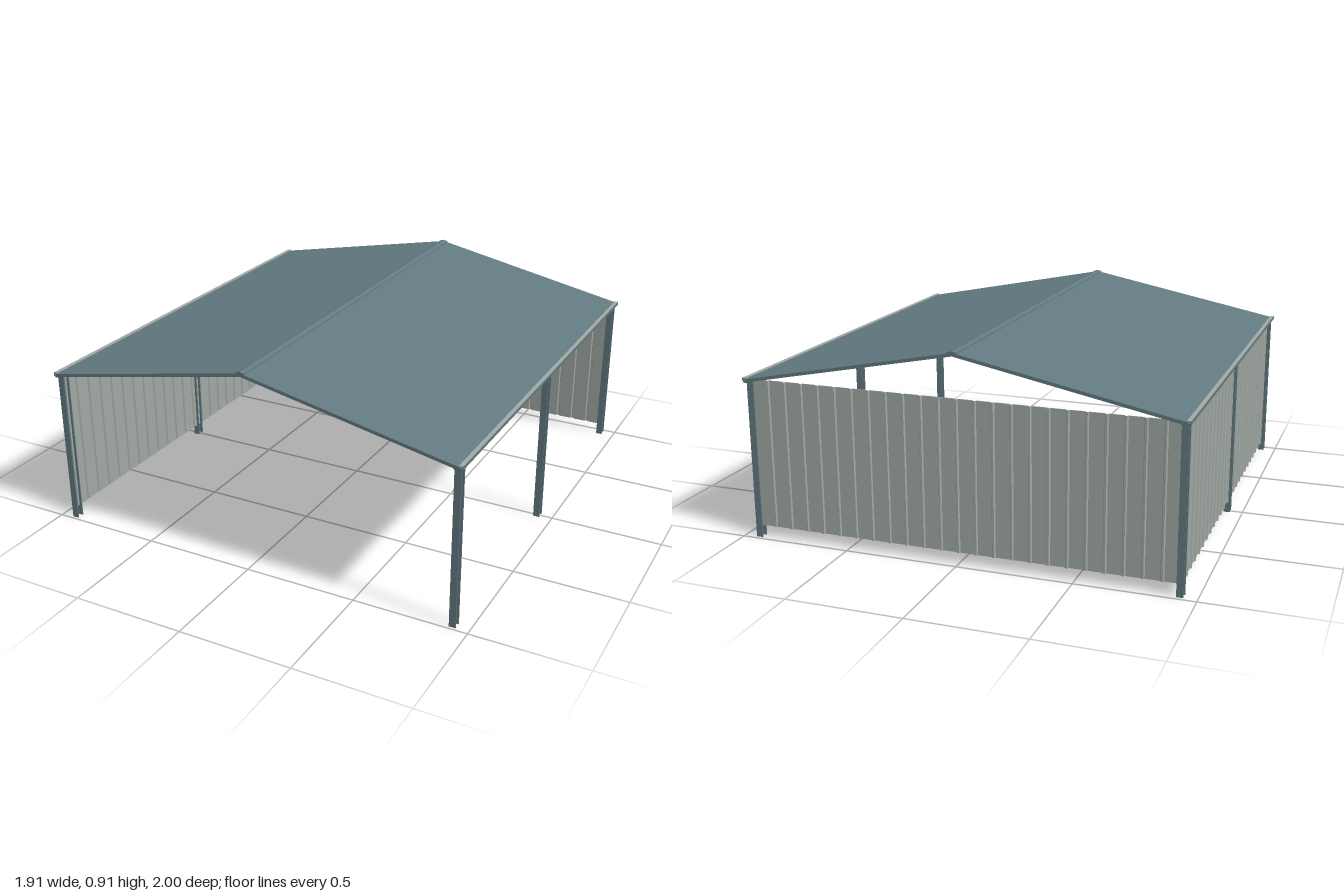
import * as THREE from 'three';

const LEN = 2; // roof length along z
const PITCH = 0.0777; // rib spacing of the wall sheets

const steel = new THREE.MeshStandardMaterial({ color: 0x627a81 });
steel.name = 'blueGreySteel';
const sheet = new THREE.MeshStandardMaterial({ color: 0xa2aaa5 });
sheet.name = 'paleGreySheet';

function add(parent, name, geometry, material, x = 0, y = 0, z = 0) {
  const mesh = new THREE.Mesh(geometry, material);
  mesh.name = name;
  mesh.position.set(x, y, z);
  parent.add(mesh);
  return mesh;
}

// Shape from [x, y] points, extruded along z and centred on it
function extrude(points, depth) {
  const shape = new THREE.Shape(points.map(([x, y]) => new THREE.Vector2(x, y)));
  const geometry = new THREE.ExtrudeGeometry(shape, { depth, bevelEnabled: false });
  return geometry.translate(0, 0, -depth / 2);
}

// Upright ribbed sheet running along x from a to b, ribs on its outer (-z) side
function ribbedSheet(a, b, firstRib, bottom, top) {
  const t = 0.004, rise = 0.007;
  const line = [[a, 0]];
  for (let r = firstRib; r < b - 0.012; r += PITCH) {
    line.push([r - 0.008, 0], [r - 0.004, rise], [r + 0.004, rise], [r + 0.008, 0]);
  }
  line.push([b, 0]);
  const back = line.map(([x, y]) => [x, y - t]).reverse();
  const geometry = extrude([...line, ...back], top - bottom);
  geometry.rotateX(-Math.PI / 2); // profile now lies flat, extrusion goes up
  return geometry.translate(0, (top + bottom) / 2, 0);
}

export function createModel() {
  const model = new THREE.Group();
  model.name = 'openShelter';

  // Posts: a pair of upright plates, three along each side
  for (const side of [-1, 1]) {
    for (const z of [-0.967, 0, 0.97]) {
      const post = new THREE.Group();
      post.name = 'post';
      post.position.set(side * 0.93, 0, z);
      for (const dz of [-0.015, 0.015]) {
        add(post, 'postPlate', new THREE.BoxGeometry(0.029, 0.705, 0.005), steel, 0, 0.3525, dz);
      }
      model.add(post);
    }
  }

  // Walls: the back, and two bays on one side
  add(model, 'backWall', ribbedSheet(-0.93, 0.93, -0.855, 0.05, 0.705), sheet, 0, 0, -0.967);
  const sideWall = new THREE.Group();
  sideWall.name = 'sideWall';
  sideWall.rotation.y = Math.PI / 2; // local x runs toward -z, ribs face -x
  sideWall.position.x = -0.93;
  add(sideWall, 'frontBay', ribbedSheet(-0.967, 0, -0.898, 0.05, 0.705), sheet);
  add(sideWall, 'rearBay', ribbedSheet(0, 0.975, 0.03, 0.05, 0.705), sheet);
  model.add(sideWall);

  // Roof panels: steel on top and edges, pale underneath
  const low = new THREE.Vector2(0.942, 0.704);
  const high = new THREE.Vector2(0, 0.892);
  const span = low.distanceTo(high);
  const slope = Math.atan2(high.y - low.y, low.x);
  for (const side of [-1, 1]) {
    const panel = add(model, 'roofPanel', new THREE.BoxGeometry(span, 0.014, LEN),
      [steel, steel, steel, sheet, steel, steel], side * low.x / 2, (low.y + high.y) / 2, 0);
    panel.rotation.z = -side * slope;
  }

  // Ridge cap
  add(model, 'ridgeCap', extrude(
    [[-0.02, 0.895], [0.02, 0.895], [0.02, 0.9], [0, 0.906], [-0.02, 0.9]], LEN), steel);

  // Eave gutters with pale lining
  for (const side of [-1, 1]) {
    const channel = [[0.912, 0.706], [0.92, 0.695], [0.947, 0.695], [0.955, 0.702],
      [0.955, 0.716], [0.951, 0.716], [0.951, 0.706]].map(([x, y]) => [side * x, y]);
    add(model, 'gutter', extrude(channel, LEN), steel);
    add(model, 'gutterLining', new THREE.BoxGeometry(0.017, 0.003, LEN - 0.002), sheet,
      side * 0.9455, 0.7155, 0);
  }

  return model;
}
